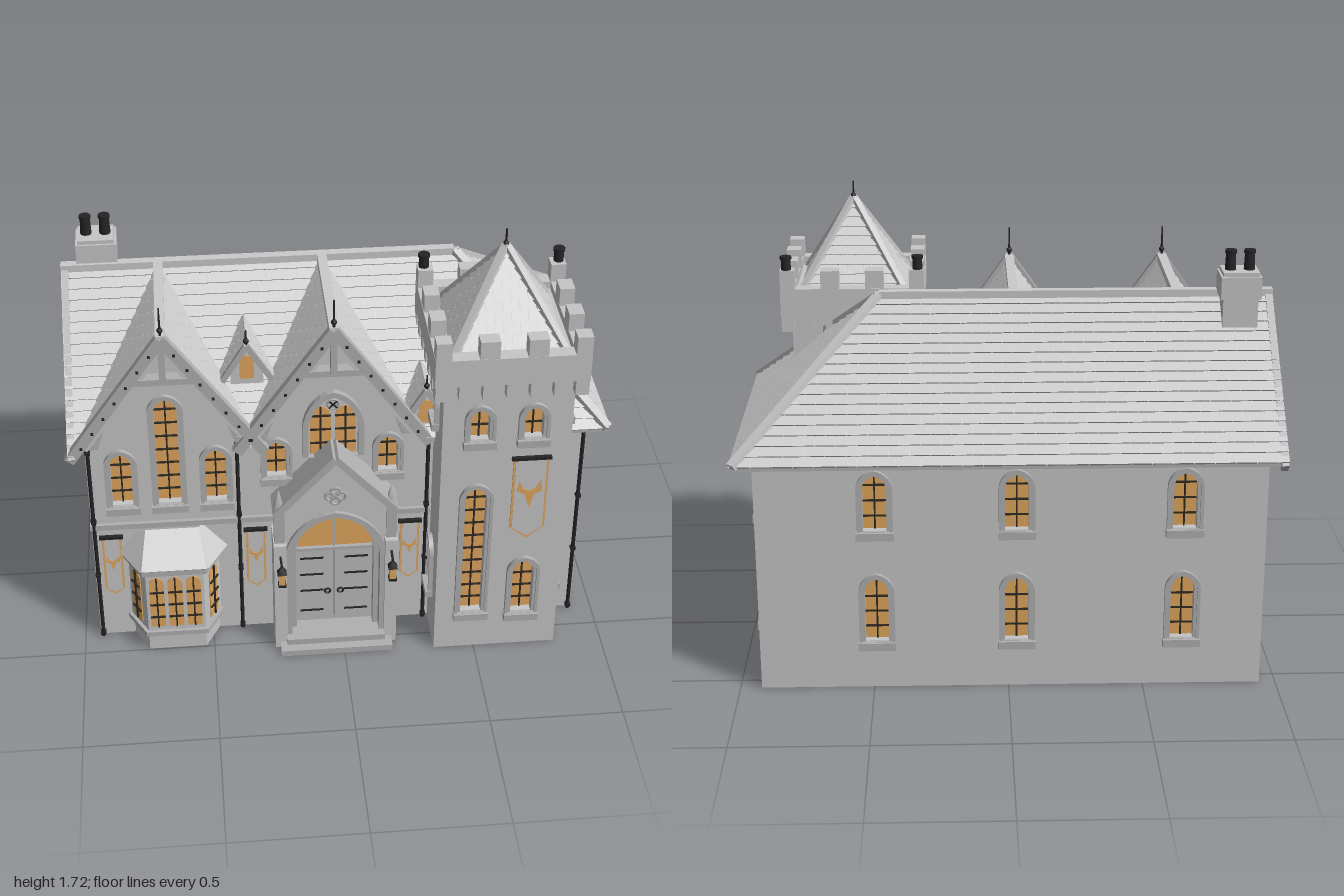
import * as THREE from 'three';

const mat = (name, color) => {
  const m = new THREE.MeshStandardMaterial({ color });
  m.name = name;
  return m;
};
const wall = mat('wallStone', 0xc6c6c6), trim = mat('trimStone', 0xb0b0b0), roof = mat('roofSlate', 0xcacaca);
const iron = mat('blackIron', 0x242424), gold = mat('amberGlass', 0xe0a75d);
const bars = mat('glazingBar', 0x2e2923), door = mat('doorWood', 0xbcbcbc);
roof.side = THREE.DoubleSide;

const V = (x, y, z) => new THREE.Vector3(x, y, z);
function add(parent, name, geo, m, x = 0, y = 0, z = 0) {
  const mesh = new THREE.Mesh(geo, m);
  mesh.name = name;
  mesh.position.set(x, y, z);
  parent.add(mesh);
  return mesh;
}
// Box given by its limits
const block = (p, name, m, x0, x1, y0, y1, z0, z1) =>
  add(p, name, new THREE.BoxGeometry(x1 - x0, y1 - y0, z1 - z0), m, (x0 + x1) / 2, (y0 + y1) / 2, (z0 + z1) / 2);
// Bar running from a to b
function beam(p, name, a, b, w, d, m) {
  const mesh = add(p, name, new THREE.BoxGeometry(w, d, a.distanceTo(b)), m);
  mesh.position.copy(a).add(b).multiplyScalar(0.5);
  mesh.quaternion.setFromRotationMatrix(new THREE.Matrix4().lookAt(b, a, V(0, 1, 0)));
}
const rod = (p, name, m, x, y0, y1, z, r0, r1 = r0, n = 10) =>
  add(p, name, new THREE.CylinderGeometry(r1, r0, y1 - y0, n), m, x, (y0 + y1) / 2, z);
const extrude = (shape, depth) => new THREE.ExtrudeGeometry(shape, { depth, bevelEnabled: false, curveSegments: 7 });
const poly = pts => new THREE.Shape(pts.map(q => new THREE.Vector2(q[0], q[1])));
// Pointed arch outline, half width a, from y0 to h
function arch(a, h, rise = a * 1.2, y0 = 0) {
  const s = new THREE.Shape(), k = h - rise;
  s.moveTo(-a, y0); s.lineTo(a, y0); s.lineTo(a, k);
  s.bezierCurveTo(a, k + rise * 0.55, a * 0.5, h - rise * 0.06, 0, h);
  s.bezierCurveTo(-a * 0.5, h - rise * 0.06, -a, k + rise * 0.55, -a, k);
  s.closePath();
  return s;
}
function archRing(a, h, t, depth, rise = a * 1.2) {
  const s = arch(a + t, h + t, rise + t * 0.8);
  s.holes.push(arch(a, h, rise, 0.001));
  return extrude(s, depth);
}
// Lancet window: recessed glass and bars, stepped surround, sill; plain ones sit flush
function lancet(p, x, y, z, ry, a, h, framed = true, barred = true) {
  const g = new THREE.Group(), zg = framed ? -0.028 : 0.004;
  g.name = 'lancetWindow'; g.position.set(x, y, z); g.rotation.y = ry; p.add(g);
  add(g, 'glass', extrude(arch(a, h), 0.02), gold, 0, 0, zg - 0.02);
  if (barred) {
    block(g, 'mullion', bars, -0.003, 0.003, 0, h, zg, zg + 0.006);
    for (let k = 0.05; k < h - 0.03; k += 0.06) block(g, 'glazingBar', bars, -a, a, k - 0.003, k + 0.003, zg, zg + 0.006);
  }
  if (!framed) return;
  add(g, 'innerSurround', archRing(a, h, 0.011, 0.009), trim);
  add(g, 'outerSurround', archRing(a + 0.011, h + 0.011, 0.012, 0.017), trim);
  block(g, 'sill', trim, -a - 0.026, a + 0.026, -0.03, 0, 0, 0.028);
}
// Wall slab facing local +z, pierced by windows [x, y, half width, height]
function panel(p, name, outline, windows, x, z, ry) {
  const g = new THREE.Group(), s = poly(outline);
  g.name = name; g.position.set(x, 0, z); g.rotation.y = ry; p.add(g);
  for (const [wx, wy, a, h] of windows) {
    s.holes.push(poly(arch(a, h).getPoints(7).map(q => [q.x + wx, q.y + wy])));
    lancet(g, wx, wy, 0, 0, a, h);
  }
  add(g, name + 'Stone', extrude(s, 0.06), wall, 0, 0, -0.06);
}
const rect = (x0, x1, y0, y1) => [[x0, y0], [x1, y0], [x1, y1], [x0, y1]];
// Roof slope a-b (eave) to d-c (ridge), covered in staggered slates
function slope(p, name, a, b, c, d, rows, w = 0.075) {
  const bot = b.clone().sub(a), top = c.clone().sub(d);
  const u = (bot.length() > top.length() ? bot : top).clone().normalize();
  const ad = d.clone().sub(a), v = ad.clone().addScaledVector(u, -ad.dot(u)), n = u.clone().cross(v).normalize();
  const r0 = bot.dot(u), l1 = ad.dot(u), r1 = c.clone().sub(a).dot(u), out = [];
  const L = t => t * l1, R = t => r0 + t * (r1 - r0);
  const pt = (s, t, h) => a.clone().addScaledVector(u, s).addScaledVector(v, t).addScaledVector(n, h);
  const quad = (...q) => [0, 1, 2, 0, 2, 3].forEach(i => out.push(q[i].x, q[i].y, q[i].z));
  const cl = (s, t) => Math.min(Math.max(s, L(t)), R(t));
  for (let i = 0; i < rows; i++) {
    const t0 = i / rows, t1 = (i + 1) / rows;
    for (let s = Math.min(0, l1) - (i % 2) * w / 2; s < Math.max(r0, r1); s += w) {
      const e = s + w - 0.002, a0 = cl(s, t0), b0 = cl(e, t0), a1 = cl(s, t1), b1 = cl(e, t1);
      if (b0 - a0 + b1 - a1 < 0.003) continue;
      quad(pt(a0, t0, 0.01), pt(b0, t0, 0.01), pt(b1, t1, 0.003), pt(a1, t1, 0.003));
      quad(pt(a0, t0, 0), pt(b0, t0, 0), pt(b0, t0, 0.01), pt(a0, t0, 0.01));
    }
  }
  quad(a, b, c, d);
  const g = new THREE.BufferGeometry();
  g.setAttribute('position', new THREE.Float32BufferAttribute(out, 3));
  g.computeVertexNormals();
  add(p, name, g, roof);
}
function finial(p, x, y, z, h) {
  rod(p, 'finialSpike', iron, x, y, y + h, z, 0.006, 0.003, 6);
  add(p, 'finialBall', new THREE.SphereGeometry(0.011, 8, 6), iron, x, y + h * 0.35, z);
}
// Hanging banner with gold edge and a plain forked ornament
function banner(p, x, y0, y1, z, a) {
  const h = y1 - y0, pent = k => poly([[-a + k, h - k], [-a + k, a * 0.8], [0, k * 1.4], [a - k, a * 0.8], [a - k, h - k]]);
  add(p, 'bannerEdge', extrude(pent(0), 0.006), gold, x, y0, z);
  add(p, 'bannerCloth', extrude(pent(0.008), 0.003), wall, x, y0, z + 0.005);
  const s = a * 0.72, fork = poly([[0, -s * 1.2], [s * 0.4, 0.1 * s], [s, s * 0.4], [s * 0.85, s * 1.4], [s * 0.5, s * 0.65], [0, s * 0.4],
    [-s * 0.5, s * 0.65], [-s * 0.85, s * 1.4], [-s, s * 0.4], [-s * 0.4, 0.1 * s]]);
  add(p, 'bannerOrnament', extrude(fork, 0.002), gold, x, y0 + h * 0.55, z + 0.008);
  block(p, 'bannerRod', iron, x - a - 0.008, x + a + 0.008, y1 - 0.005, y1 + 0.007, z, z + 0.015);
}

const E = 0.9, T = 1.38, ZF = 0.44, ZB = -0.62, ZR = -0.09, HX = 0.47;
const zAt = y => ZF - (y - E) * (ZF - ZR) / (T - E);

function buildHouse(g) {
  // Walls with their windows
  const rows = [[0.19, 0.25], [0.63, 0.215]];
  const row = (xs, dy) => rows.flatMap(([y, h]) => xs.map(x => [x, y + dy, 0.043, h]));
  panel(g, 'frontWall', [[-0.94, 0], [0.92, 0], [0.92, 0.93], [0.285, 0.93], [-0.03, 1.36], [-0.335, 0.94], [-0.64, 1.36], [-0.94, 0.935]],
    [[-0.64, 0.63, 0.042, 0.47], [-0.815, 0.63, 0.038, 0.235], [-0.465, 0.63, 0.038, 0.235], [-0.24, 0.73, 0.036, 0.155], [0.175, 0.73, 0.036, 0.155]], 0, 0.39, 0);
  panel(g, 'backWall', rect(-0.92, 0.94, 0, 0.94), row([-0.485, 0.03, 0.64], 0), 0, -0.56, Math.PI);
  panel(g, 'rightWall', rect(-0.33, 0.5, 0, 0.93), row([-0.155, 0.295], -0.02), 0.92, 0, Math.PI / 2);
  panel(g, 'leftWall', [[-0.5, 0], [0.33, 0], [0.33, 0.97], [ZR, 1.35], [-0.5, 0.97]], [...row([ZR], 0), [ZR, 1.02, 0.035, 0.15]], -0.94, 0, -Math.PI / 2);
  // Main roof
  const hip = V(HX, T, ZR);
  slope(g, 'backRoof', V(0.99, E, ZB), V(-1, E, ZB), V(-1, T, ZR), hip, 17);
  slope(g, 'hipRoof', V(0.99, E, ZF), V(0.99, E, ZB), hip, hip, 17);
  slope(g, 'frontRoofLeftEnd', V(-1, E, ZF), V(-0.98, E, ZF), V(-0.64, T, ZR), V(-1, T, ZR), 17);
  slope(g, 'frontRoofValley', V(-0.335, E, ZF), V(-0.335, E, ZF), V(-0.03, T, ZR), V(-0.64, T, ZR), 17);
  slope(g, 'frontRoofTowerEnd', V(0.31, E, ZF), V(0.99, E, ZF), hip, V(-0.03, T, ZR), 17);
  beam(g, 'ridgeCap', V(-1, T + 0.005, ZR), V(HX, T + 0.005, ZR), 0.035, 0.03, roof);
  for (const z of [ZF, ZB]) {
    beam(g, 'hipCap', V(0.985, E + 0.005, z), V(HX, T + 0.005, ZR), 0.035, 0.025, roof);
    beam(g, 'endBargeboard', V(-0.985, E - 0.02, z), V(-0.985, T - 0.01, ZR), 0.025, 0.04, trim);
  }
  block(g, 'backFascia', trim, -0.99, 0.98, E - 0.015, E, -0.612, -0.56);
  block(g, 'hipFascia', trim, 0.92, 0.983, E - 0.015, E, -0.61, 0.43);
  block(g, 'frontFascia', trim, 0.8, 0.98, E - 0.015, E, 0.39, 0.435);
  block(g, 'stringCourse', trim, -0.945, 0.34, 0.525, 0.548, 0.38, 0.405);
  for (const x of [-0.93, -0.385, 0.325, 0.908]) {
    rod(g, 'downpipe', iron, x, 0, 0.9, 0.4, 0.0075);
    for (const y of [0.01, 0.3, 0.56, 0.88]) block(g, 'pipeBracket', iron, x - 0.01, x + 0.01, y, y + 0.012, 0.39, 0.41);
  }
  // Chimney with two pots
  block(g, 'chimneyStack', wall, -0.93, -0.80, 1.2, 1.4, -0.21, -0.095);
  block(g, 'chimneyHead', wall, -0.94, -0.79, 1.39, 1.475, -0.218, -0.085);
  block(g, 'chimneyCap', wall, -0.932, -0.798, 1.475, 1.49, -0.21, -0.093);
  for (const x of [-0.9, -0.83]) pot(g, x, 1.49, -0.153, 0.075);
}
function pot(g, x, y, z, h) {
  rod(g, 'chimneyPot', iron, x, y, y + h, z, 0.021, 0.018, 12);
  rod(g, 'potRim', iron, x, y + h - 0.012, y + h, z, 0.022, 0.022, 12);
}
function buildGable(g, xc) {
  const f = V(xc, T, ZF), b = V(xc, T, ZR), l = V(xc - 0.34, E, ZF), r = V(xc + 0.34, E, ZF);
  slope(g, 'gableRightRoof', r, r, b, f, 17);
  slope(g, 'gableLeftRoof', l, l, f, b, 17);
  beam(g, 'gableRidgeCap', V(xc, T + 0.005, ZF), V(xc, T + 0.005, ZR), 0.035, 0.03, roof);
  // Bargeboards and timber truss
  for (const s of [-1, 1]) {
    beam(g, 'bargeboard', V(xc + s * 0.355, 0.88, 0.43), V(xc, 1.385, 0.43), 0.03, 0.04, trim);
    beam(g, 'innerBoard', V(xc + s * 0.3, 0.92, 0.42), V(xc, 1.34, 0.42), 0.02, 0.03, wall);
    beam(g, 'hammerBeam', V(xc + s * 0.32, 0.93, 0.41), V(xc + s * 0.25, 0.93, 0.41), 0.035, 0.025, trim);
    beam(g, 'strut', V(xc + s * 0.26, 0.92, 0.41), V(xc + s * 0.22, 1.04, 0.41), 0.03, 0.022, trim);
    for (let i = 1; i < 8; i++)
      block(g, 'boardStud', iron, xc + s * 0.044 * i - 0.005, xc + s * 0.044 * i + 0.005, 1.38 - 0.0638 * i, 1.39 - 0.0638 * i, 0.44, 0.449);
  }
  block(g, 'collarBeam', trim, xc - 0.115, xc + 0.115, 1.19, 1.215, 0.39, 0.435);
  block(g, 'kingPost', trim, xc - 0.012, xc + 0.012, 1.2, 1.37, 0.4, 0.44);
  finial(g, xc, 1.37, 0.43, 0.14);
}
function buildDormer(g, x, z, apex) {
  const e = apex - 0.14, f = z + 0.015;
  add(g, 'dormerWall', extrude(poly([[-0.06, e - 0.06], [0.06, e - 0.06], [0.06, e + 0.03], [0, apex - 0.02], [-0.06, e + 0.03]]), 0.15), wall, x, 0, z - 0.15);
  lancet(g, x, e - 0.01, z, 0, 0.026, 0.1, false, false);
  slope(g, 'dormerRightRoof', V(x + 0.09, e, f), V(x + 0.09, e, zAt(e)), V(x, apex, zAt(apex)), V(x, apex, f), 5, 0.05);
  slope(g, 'dormerLeftRoof', V(x - 0.09, e, zAt(e)), V(x - 0.09, e, f), V(x, apex, f), V(x, apex, zAt(apex)), 5, 0.05);
  for (const s of [-1, 1]) beam(g, 'dormerBoard', V(x + s * 0.092, e - 0.01, f), V(x, apex, f), 0.015, 0.022, trim);
  finial(g, x, apex - 0.01, f - 0.01, 0.07);
}
function buildTower(g) {
  const cx = 0.58, cz = 0.352;
  // Tower walls; the sides step back above the house roof
  panel(g, 'towerFront', rect(0.345, 0.815, 0, 1.27), [[0.48, 0.18, 0.04, 0.59], [0.675, 0.165, 0.04, 0.25], [0.48, 0.99, 0.034, 0.13], [0.675, 0.99, 0.034, 0.13]], 0, 0.585, 0);
  for (const s of [-1, 1])
    panel(g, 'towerSide', [[0.33, 0], [0.525, 0], [0.525, 1.27], [0.12, 1.27], [0.12, 0.89], [0.33, 0.89]].map(([z, y]) => [-s * z, y]),
      [[-s * 0.45, 0.22, 0.033, 0.21], [-s * 0.45, 1.01, 0.033, 0.11]], cx + s * 0.235, 0, s * Math.PI / 2);
  block(g, 'towerBack', wall, 0.4, 0.76, 0.89, 1.27, 0.12, 0.18);
  // Battlements: corbels, parapet, merlons on four sides
  const ring = poly(rect(-0.275, 0.275, -0.274, 0.274));
  ring.holes.push(poly(rect(-0.22, 0.22, -0.219, 0.219)));
  add(g, 'parapet', extrude(ring, 0.11), wall, cx, 1.25, cz).rotation.x = -Math.PI / 2;
  block(g, 'towerDeck', wall, 0.34, 0.82, 1.25, 1.33, 0.11, 0.59);
  for (let k = 0; k < 4; k++) {
    const side = new THREE.Group();
    side.name = 'battlementSide'; side.position.set(cx, 0, cz); side.rotation.y = k * Math.PI / 2; g.add(side);
    for (let i = 0; i < 7; i++) block(side, 'corbel', wall, -0.273 + i * 0.0845, -0.233 + i * 0.0845, 1.19, 1.25, 0.225, 0.273);
    for (const x of [-0.085, 0.085]) block(side, 'merlon', wall, x - 0.035, x + 0.035, 1.36, 1.43, 0.218, 0.273);
    block(side, 'cornerMerlon', wall, 0.218, 0.274, 1.36, 1.432, 0.218, 0.274);
    // Spire face and hip
    const c = V(0, 1.65, 0);
    slope(side, 'spire', V(-0.2, 1.32, 0.2), V(0.2, 1.32, 0.2), c, c, 10, 0.06);
    beam(side, 'spireHipCap', V(0.2, 1.325, 0.2), V(0, 1.655, 0), 0.026, 0.022, roof);
  }
  finial(g, cx, 1.63, cz, 0.09);
  for (const x of [0.33, 0.83]) pot(g, x, 1.36, 0.1, 0.125);
  banner(g, 0.675, 0.53, 0.9, 0.587, 0.065);
}
function buildPorch(g) {
  const p = new THREE.Group();
  p.name = 'porch'; p.position.x = -0.03; g.add(p);
  const front = poly([[-0.2, 0], [0.2, 0], [0.2, 0.64], [0, 0.86], [-0.2, 0.64]]);
  front.holes.push(arch(0.175, 0.62, 0.2, 0.001));
  add(p, 'porchFront', extrude(front, 0.11), wall, 0, 0, 0.39);
  add(p, 'outerArch', archRing(0.168, 0.612, 0.022, 0.125, 0.19), trim, 0, 0, 0.39);
  add(p, 'innerArch', archRing(0.148, 0.592, 0.022, 0.085, 0.175), trim, 0, 0, 0.39);
  add(p, 'fanlight', extrude(arch(0.149, 0.592, 0.175, 0.411), 0.11), gold, 0, 0, 0.32);
  block(p, 'fanlightBar', trim, -0.005, 0.005, 0.41, 0.59, 0.43, 0.437);
  block(p, 'transom', trim, -0.15, 0.15, 0.4, 0.414, 0.43, 0.445);
  for (const s of [-1, 1]) {
    block(p, 'doorLeaf', door, Math.min(0, s * 0.15) + 0.002, Math.max(0, s * 0.15) - 0.002, 0.04, 0.41, 0.318, 0.44);
    for (const y of [0.1, 0.2, 0.28, 0.36]) block(p, 'doorStrap', iron, s * 0.085 - 0.045, s * 0.085 + 0.045, y, y + 0.006, 0.44, 0.445);
    add(p, 'doorKnocker', new THREE.TorusGeometry(0.011, 0.004, 5, 10), iron, s * 0.025, 0.2, 0.446);
    block(p, 'buttress', wall, s * 0.21 - 0.024, s * 0.21 + 0.024, 0, 0.5, 0.39, 0.53);
    block(p, 'pinnacleBase', trim, s * 0.21 - 0.02, s * 0.21 + 0.02, 0.5, 0.65, 0.47, 0.51);
    add(p, 'pinnacle', new THREE.ConeGeometry(0.028, 0.09, 4), trim, s * 0.21, 0.695, 0.49).rotation.y = Math.PI / 4;
    beam(p, 'porchCoping', V(s * 0.225, 0.63, 0.45), V(0, 0.878, 0.45), 0.13, 0.028, trim);
    // Lantern on a bracket
    beam(p, 'lanternArm', V(s * 0.21, 0.45, 0.52), V(s * 0.208, 0.45, 0.59), 0.008, 0.008, iron);
    block(p, 'lanternGlass', gold, s * 0.208 - 0.012, s * 0.208 + 0.012, 0.37, 0.42, 0.574, 0.598);
    block(p, 'lanternBase', iron, s * 0.208 - 0.015, s * 0.208 + 0.015, 0.36, 0.37, 0.571, 0.601);
    add(p, 'lanternCap', new THREE.ConeGeometry(0.025, 0.035, 4), iron, s * 0.208, 0.437, 0.586).rotation.y = Math.PI / 4;
  }
  for (let k = 0; k < 4; k++) // Quatrefoil
    add(p, 'quatrefoilRing', new THREE.TorusGeometry(0.018, 0.006, 5, 12), trim, Math.cos(k * Math.PI / 2) * 0.02, 0.705 + Math.sin(k * Math.PI / 2) * 0.02, 0.502);
  block(p, 'lowerStep', trim, -0.215, 0.215, 0, 0.025, 0.39, 0.585);
  block(p, 'upperStep', trim, -0.19, 0.19, 0.025, 0.05, 0.39, 0.55);
}
function buildBay(g) {
  const b = new THREE.Group();
  b.name = 'bayWindow'; b.position.x = -0.64; g.add(b);
  const prism = (name, m, y0, y1, hb, hf, zf) =>
    add(b, name, extrude(poly([[-hb, -0.38], [-hf, -zf], [hf, -zf], [hb, -0.38]]), y1 - y0), m, 0, y0, 0).rotation.x = -Math.PI / 2;
  prism('bayBase', wall, 0, 0.08, 0.17, 0.11, 0.495);
  prism('baySill', trim, 0.08, 0.1, 0.192, 0.118, 0.515);
  prism('bayWalls', wall, 0.1, 0.38, 0.178, 0.11, 0.5);
  prism('bayCornice', trim, 0.38, 0.405, 0.198, 0.122, 0.518);
  const lo = [V(-0.2, 0.405, 0.385), V(-0.122, 0.405, 0.52), V(0.122, 0.405, 0.52), V(0.2, 0.405, 0.385)];
  const hi = [V(-0.115, 0.52, 0.385), V(-0.1, 0.52, 0.41), V(0.1, 0.52, 0.41), V(0.115, 0.52, 0.385)];
  for (let i = 0; i < 3; i++) slope(b, 'bayRoof', lo[i], lo[i + 1], hi[i + 1], hi[i], 1, 0.5);
  for (const x of [-0.07, 0, 0.07]) lancet(b, x, 0.12, 0.5, 0, 0.028, 0.24, false);
  for (const s of [-1, 1]) lancet(b, s * 0.144, 0.12, 0.44, s * 1.05, 0.03, 0.24, false);
}

export function createModel() {
  const g = new THREE.Group();
  g.name = 'gothicManor';
  buildHouse(g);
  for (const x of [-0.64, -0.03]) buildGable(g, x);
  buildDormer(g, -0.335, 0.265, 1.24);
  buildDormer(g, 0.31, 0.405, 1.1);
  buildTower(g);
  buildPorch(g);
  buildBay(g);
  // Great window above the porch
  add(g, 'greatWindowArch', archRing(0.092, 0.265, 0.022, 0.024, 0.15), trim, -0.03, 0.82, 0.39);
  for (const s of [-1, 1]) lancet(g, -0.03 + s * 0.046, 0.825, 0.39, 0, 0.038, 0.21, false);
  add(g, 'greatWindowRoundel', new THREE.TorusGeometry(0.02, 0.005, 6, 16), trim, -0.03, 1.045, 0.396);
  for (const s of [-1, 1]) beam(g, 'roundelBar', V(-0.045, 1.045 - s * 0.015, 0.4), V(-0.015, 1.045 + s * 0.015, 0.4), 0.005, 0.005, iron);
  for (const x of [-0.87, -0.325, 0.265]) banner(g, x, 0.205, 0.485, 0.392, 0.037);
  return g;
}
